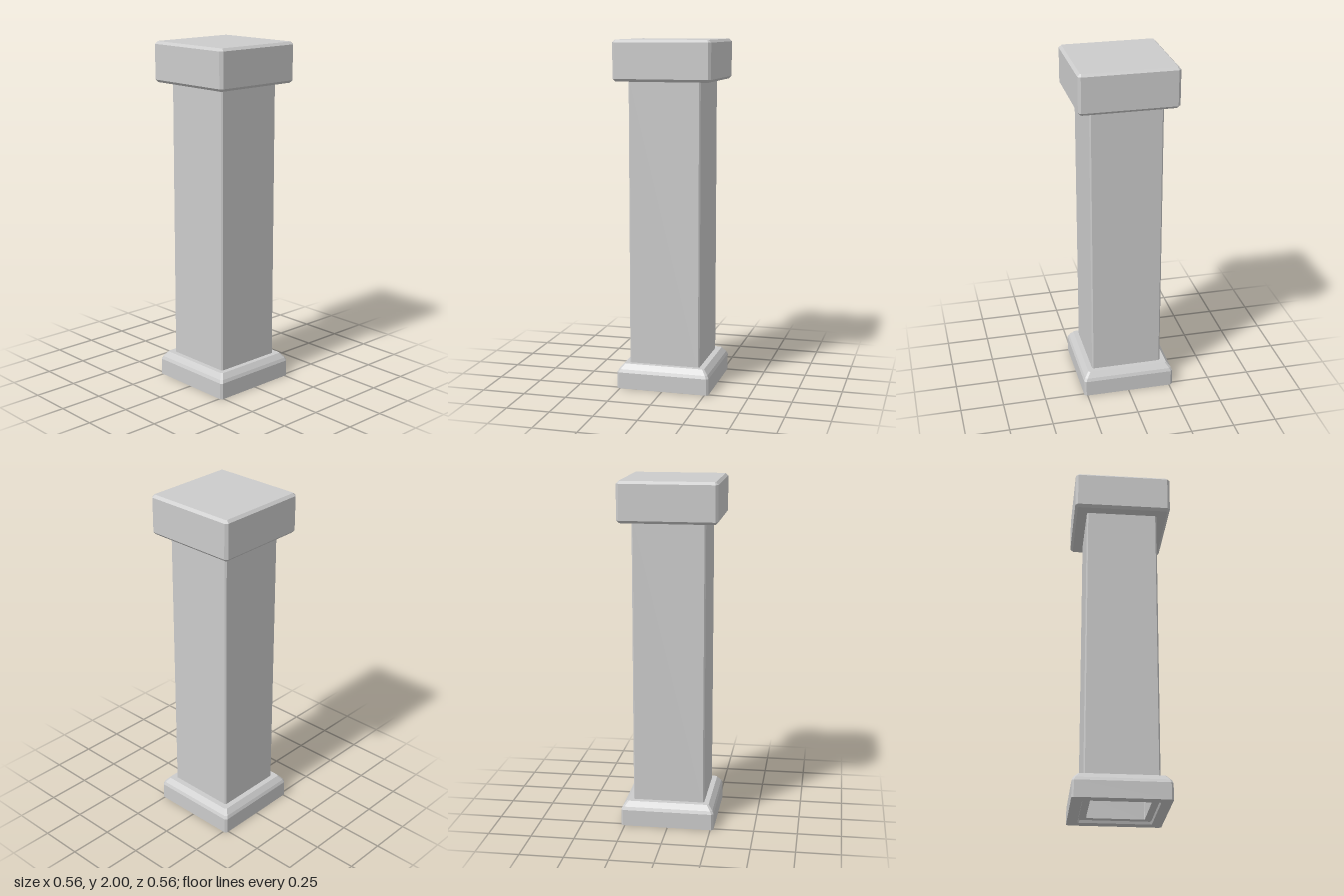
import * as THREE from 'three';

// Skin square cross-sections with cut corners; each ring is [halfWidth, y, cornerCut]
function loftSquare(rings, { capStart = false, capEnd = false } = {}) {
  const positions = [];
  const corners = rings.map(([h, y, c]) => [
    [h, h - c], [h - c, h], [c - h, h], [-h, h - c],
    [-h, c - h], [c - h, -h], [h - c, -h], [h, c - h],
  ].map(([x, z]) => [x, y, z]));
  const tri = (a, b, c) => positions.push(...a, ...b, ...c);

  for (let r = 0; r < corners.length - 1; r++) {
    const low = corners[r], high = corners[r + 1];
    for (let i = 0; i < 8; i++) {
      const j = (i + 1) % 8;
      tri(low[i], high[i], high[j]);
      tri(low[i], high[j], low[j]);
    }
  }
  const first = corners[0], last = corners[corners.length - 1];
  for (let i = 1; i < 7; i++) {
    if (capStart) tri(first[0], first[i], first[i + 1]);
    if (capEnd) tri(last[0], last[i + 1], last[i]);
  }
  const geometry = new THREE.BufferGeometry();
  geometry.setAttribute('position', new THREE.Float32BufferAttribute(positions, 3));
  geometry.computeVertexNormals();
  return geometry;
}

export function createModel() {
  const group = new THREE.Group();
  group.name = 'squarePillar';
  const solid = new THREE.MeshStandardMaterial({ color: 0xcccccc });
  const open = new THREE.MeshStandardMaterial({ color: 0xcccccc, side: THREE.DoubleSide });

  const add = (name, geometry, material) => {
    const mesh = new THREE.Mesh(geometry, material);
    mesh.name = name;
    group.add(mesh);
    return mesh;
  };

  // Block on top with bevelled edges
  add('cap', loftSquare([
    [0.265, 1.77, 0.006],
    [0.28, 1.785, 0.015],
    [0.28, 1.985, 0.015],
    [0.265, 2.0, 0.006],
  ], { capStart: true, capEnd: true }), solid);

  // Hollow shaft, open at the foot
  add('shaft', loftSquare([
    [0.207, 0.13, 0.008],
    [0.207, 1.775, 0.008],
  ]), open);

  // Moulded base ring: inner wall, stepped underside, outer wall, sloped top
  add('base', loftSquare([
    [0.165, 0.14, 0.004],
    [0.165, 0.02, 0.004],
    [0.205, 0.02, 0.008],
    [0.21, 0.005, 0.008],
    [0.27, 0.005, 0.012],
    [0.27, 0.1, 0.012],
    [0.262, 0.118, 0.012],
    [0.238, 0.147, 0.01],
    [0.2, 0.147, 0.008],
    [0.165, 0.14, 0.004],
  ]), open).position.set(-0.002, 0, -0.002);

  return group;
}
